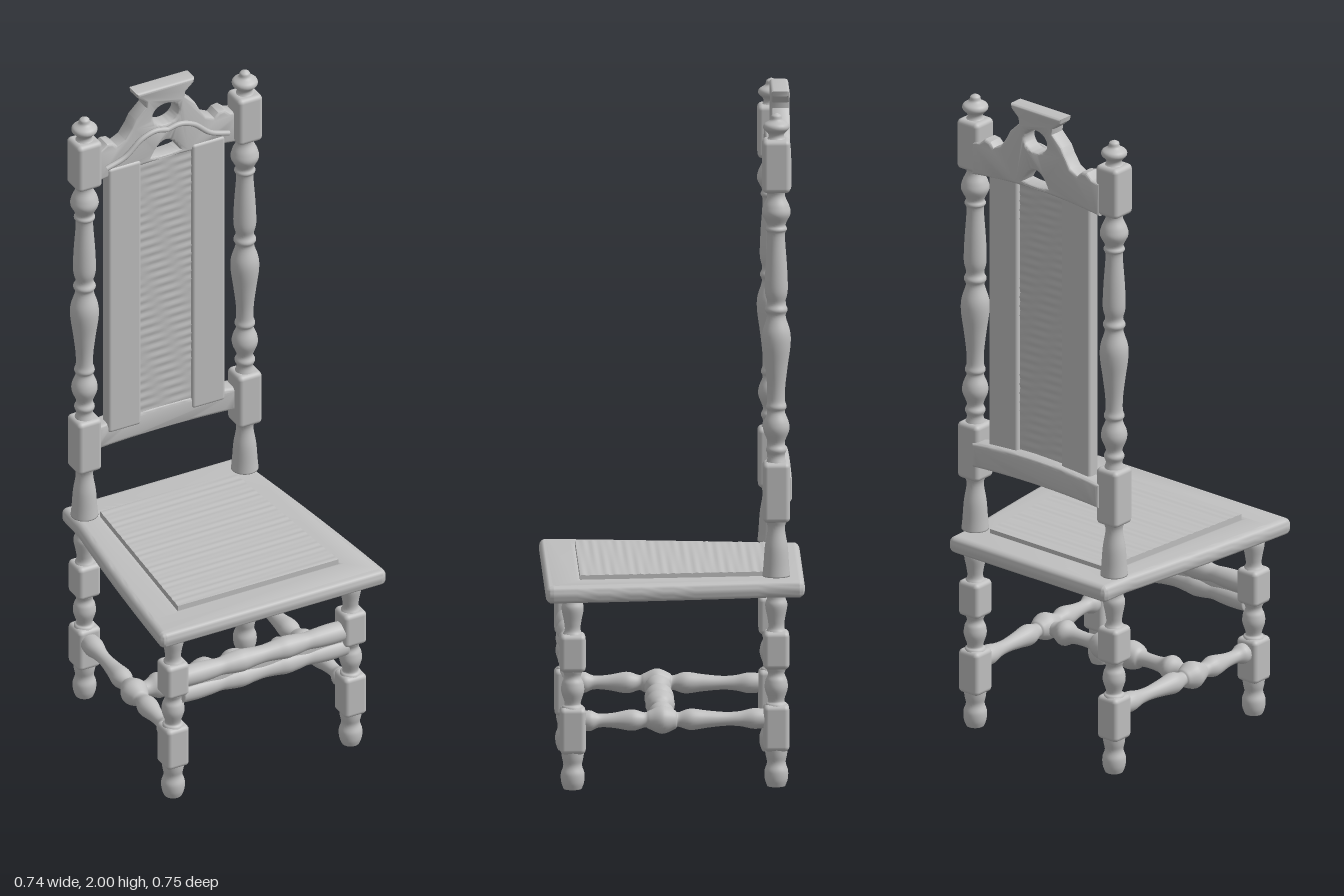
import * as THREE from 'three';
import { toCreasedNormals } from 'three/addons/utils/BufferGeometryUtils.js';
import { RoundedBoxGeometry } from 'three/addons/geometries/RoundedBoxGeometry.js';

const V2 = (x, y) => new THREE.Vector2(x, y);
const V3 = (x, y, z) => new THREE.Vector3(x, y, z);

export function createModel() {
  const wood = new THREE.MeshStandardMaterial({ color: 0xbfbfbf });
  wood.name = 'grey wood';
  const root = new THREE.Group();
  root.name = 'highBackChair';

  const add = (name, geo, parent = root) => {
    const m = new THREE.Mesh(geo, wood);
    m.name = name;
    parent.add(m);
    return m;
  };
  // Turned piece: [radius, height] pairs smoothed into a lathe profile
  const turned = (pairs) => {
    const pts = new THREE.SplineCurve(pairs.map(([r, y]) => V2(r, y))).getPoints(pairs.length * 5);
    pts.forEach((p) => { p.x = Math.max(p.x, 0); });
    return new THREE.LatheGeometry([V2(0, pairs[0][1]), ...pts, V2(0, pairs[pairs.length - 1][1])], 24);
  };
  const block = (name, y0, y1, half, parent) => {
    const m = add(name, new RoundedBoxGeometry(half * 2, y1 - y0, half * 2, 3, 0.014), parent);
    m.position.y = (y0 + y1) / 2;
  };
  // Turned bar between two points; profile is [radius, position -1..1]
  const bar = (name, a, b, profile) => {
    const d = b.clone().sub(a), half = d.length() / 2;
    const m = add(name, turned(profile.map(([r, t]) => [r, t * half])));
    m.position.copy(a).add(b).multiplyScalar(0.5);
    m.quaternion.setFromUnitVectors(V3(0, 1, 0), d.normalize());
    return m;
  };
  const extrude = (shape, depth, bevel) => toCreasedNormals(new THREE.ExtrudeGeometry(shape, {
    depth: depth - 2 * bevel, bevelThickness: bevel, bevelSize: bevel,
    bevelOffset: -bevel, bevelSegments: 4, curveSegments: 20,
  }), 0.6);

  // Legs and back posts
  const leg = [[0.026, 0], [0.033, 0.02], [0.034, 0.045], [0.027, 0.07], [0.032, 0.1], [0.035, 0.17],
    [0.032, 0.235], [0.023, 0.25], [0.033, 0.285], [0.031, 0.31], [0.024, 0.33], [0.032, 0.36],
    [0.032, 0.44], [0.023, 0.465], [0.025, 0.49], [0.032, 0.53], [0.026, 0.555], [0.033, 0.59]];
  const post = [[0.04, 0.615], [0.037, 0.645], [0.033, 0.7], [0.025, 0.755], [0.033, 0.79], [0.035, 0.86],
    [0.033, 0.93], [0.024, 0.965], [0.03, 0.985], [0.024, 1.005], [0.037, 1.04], [0.036, 1.065], [0.025, 1.095],
    [0.03, 1.11], [0.025, 1.13], [0.026, 1.17], [0.033, 1.23], [0.041, 1.29], [0.04, 1.33], [0.027, 1.375],
    [0.033, 1.395], [0.026, 1.415], [0.033, 1.45], [0.031, 1.52], [0.025, 1.61], [0.031, 1.63],
    [0.027, 1.645], [0.041, 1.675], [0.037, 1.7], [0.025, 1.73], [0.033, 1.76], [0.035, 1.82],
    [0.033, 1.88], [0.023, 1.9], [0.025, 1.912], [0.037, 1.925], [0.035, 1.938], [0.018, 1.95], [0.014, 1.963], [0.002, 1.97]];
  for (const s of [1, -1]) {
    const side = s > 0 ? 'left' : 'right';
    for (const [place, x, z] of [['Front', 0.29, 0.293], ['Back', 0.262, -0.293]]) {
      const g = new THREE.Group();
      g.name = side + place + 'Leg';
      g.position.set(s * x, 0, z);
      root.add(g);
      add('turnedLeg', turned(leg), g);
      block('lowerBlock', 0.105, 0.24, 0.037, g);
      block('upperBlock', 0.345, 0.455, 0.037, g);
      if (place === 'Back') {
        add('turnedPost', turned(post), g);
        block('postLowerBlock', 0.775, 0.95, 0.039, g);
        block('postUpperBlock', 1.74, 1.895, 0.04, g);
      }
    }
    // Side stretcher with a central ball
    bar(side + 'SideStretcher', V3(s * 0.286, 0.198, 0.27), V3(s * 0.264, 0.198, -0.27),
      [[0.026, -1], [0.03, -0.9], [0.02, -0.8], [0.022, -0.65], [0.031, -0.45], [0.022, -0.32],
        [0.028, -0.26], [0.041, -0.13], [0.028, 0], [0.021, 0.04], [0.031, 0.17], [0.025, 0.35],
        [0.02, 0.55], [0.022, 0.7], [0.03, 0.85], [0.026, 1]]);
  }

  // Cross stretcher joining the side stretchers
  const halfCross = [[0.04, 0.12], [0.042, 0.2], [0.034, 0.29], [0.024, 0.34], [0.021, 0.45],
    [0.024, 0.6], [0.037, 0.7], [0.036, 0.76], [0.024, 0.85], [0.02, 1]];
  const mirrorProfile = (h, mid) => [...h.map(([r, t]) => [r, -t]).reverse(), [mid, 0], ...h];
  bar('crossStretcher', V3(-0.275, 0.198, 0.035), V3(0.275, 0.198, 0.035), mirrorProfile(halfCross, 0.023));

  // Front stretcher: a pair of swelling rails stacked together
  for (const y of [0.339, 0.391]) {
    bar('frontStretcherRail', V3(-0.27, y, 0.297), V3(0.27, y, 0.297),
      mirrorProfile([[0.029, 0.15], [0.033, 0.27], [0.03, 0.4], [0.026, 0.52], [0.029, 0.65], [0.031, 0.82], [0.029, 1]], 0.026));
  }
  const web = add('frontStretcherWeb', new THREE.BoxGeometry(0.54, 0.05, 0.035));
  web.position.set(0, 0.365, 0.297);

  // Tapered seat frame with a central opening
  const seat = new THREE.Shape();
  seat.moveTo(-0.35, -0.372);
  seat.lineTo(0.35, -0.372);
  seat.quadraticCurveTo(0.372, -0.372, 0.369, -0.345);
  seat.quadraticCurveTo(0.342, -0.03, 0.299, 0.27);
  seat.lineTo(0.297, 0.355);
  seat.quadraticCurveTo(0.297, 0.375, 0.277, 0.375);
  seat.lineTo(-0.277, 0.375);
  seat.quadraticCurveTo(-0.297, 0.375, -0.297, 0.355);
  seat.lineTo(-0.299, 0.27);
  seat.quadraticCurveTo(-0.342, -0.03, -0.369, -0.345);
  seat.quadraticCurveTo(-0.372, -0.372, -0.35, -0.372);
  seat.holes.push(new THREE.Path([V2(-0.255, -0.262), V2(-0.212, 0.27), V2(0.212, 0.27), V2(0.255, -0.262)]));
  const frame = add('seatFrame', extrude(seat, 0.052, 0.02));
  frame.rotation.x = -Math.PI / 2;
  frame.position.y = 0.574;

  // Woven seat panel, tapered and gently rippled
  const cane = new THREE.BoxGeometry(2, 0.02, 0.55, 10, 1, 110);
  const p = cane.attributes.position;
  for (let i = 0; i < p.count; i++) {
    const z = p.getZ(i);
    p.setX(i, p.getX(i) * (0.24 + z * 0.08));
    p.setY(i, p.getY(i) + 0.0012 * Math.sin(z * 230) * Math.sin(z * 37 + p.getX(i) * 4));
  }
  cane.computeVertexNormals();
  add('seatPanel', cane).position.set(0, 0.609, -0.004);

  // Back panel frame: two broad stiles
  for (const s of [1, -1]) {
    const stile = add('backStile', new RoundedBoxGeometry(0.108, 0.9, 0.042, 3, 0.01));
    stile.position.set(s * 0.137, 1.325, -0.299);
  }
  // Woven back strip
  const weave = new THREE.BoxGeometry(0.18, 0.88, 0.018, 8, 160, 1);
  const w = weave.attributes.position;
  for (let i = 0; i < w.count; i++) {
    const y = w.getY(i), x = w.getX(i);
    w.setZ(i, w.getZ(i) + 0.0015 * Math.sin(y * 220) * Math.cos(x * 30 + y * 11));
  }
  weave.computeVertexNormals();
  add('backWovenStrip', weave).position.set(0, 1.325, -0.296);

  // Lower back rail with an arched edge
  const rail = new THREE.Shape();
  rail.moveTo(-0.24, 0.825);
  rail.quadraticCurveTo(0, 0.842, 0.24, 0.825);
  rail.lineTo(0.24, 0.9);
  rail.lineTo(0.2, 0.905);
  rail.quadraticCurveTo(0, 0.925, -0.2, 0.905);
  rail.lineTo(-0.24, 0.9);
  add('lowerBackRail', extrude(rail, 0.056, 0.012)).position.z = -0.327;

  // Pierced crest
  const half = [[0.095, 2.0], [0.092, 1.985], [0.066, 1.962], [0.064, 1.945], [0.098, 1.912], [0.11, 1.888],
    [0.132, 1.856], [0.158, 1.843], [0.172, 1.857], [0.192, 1.86], [0.212, 1.843], [0.24, 1.838], [0.24, 1.738]];
  const crest = new THREE.Shape();
  crest.moveTo(-0.24, 1.738);
  crest.quadraticCurveTo(0, 1.772, 0.24, 1.738);
  [...half].reverse().slice(1).forEach(([x, y]) => crest.lineTo(x, y));
  half.forEach(([x, y]) => crest.lineTo(-x, y));
  const eye = new THREE.Path();
  eye.absellipse(0, 1.905, 0.042, 0.034, 0, Math.PI * 2, true);
  const lunette = new THREE.Path();
  lunette.moveTo(-0.046, 1.772);
  lunette.quadraticCurveTo(0, 1.86, 0.046, 1.772);
  lunette.quadraticCurveTo(0, 1.764, -0.046, 1.772);
  crest.holes.push(eye, lunette);
  add('crest', extrude(crest, 0.054, 0.009)).position.z = -0.328;

  // Carved ridges sweeping up the crest on both faces
  for (const s of [1, -1]) for (const z of [-0.275, -0.327]) {
    const path = new THREE.CatmullRomCurve3([V3(s * 0.2, 1.785, z), V3(s * 0.14, 1.805, z),
      V3(s * 0.085, 1.85, z), V3(s * 0.04, 1.865, z), V3(0, 1.858, z)]);
    add('crestRidge', new THREE.TubeGeometry(path, 24, 0.008, 8));
  }
  return root;
}
